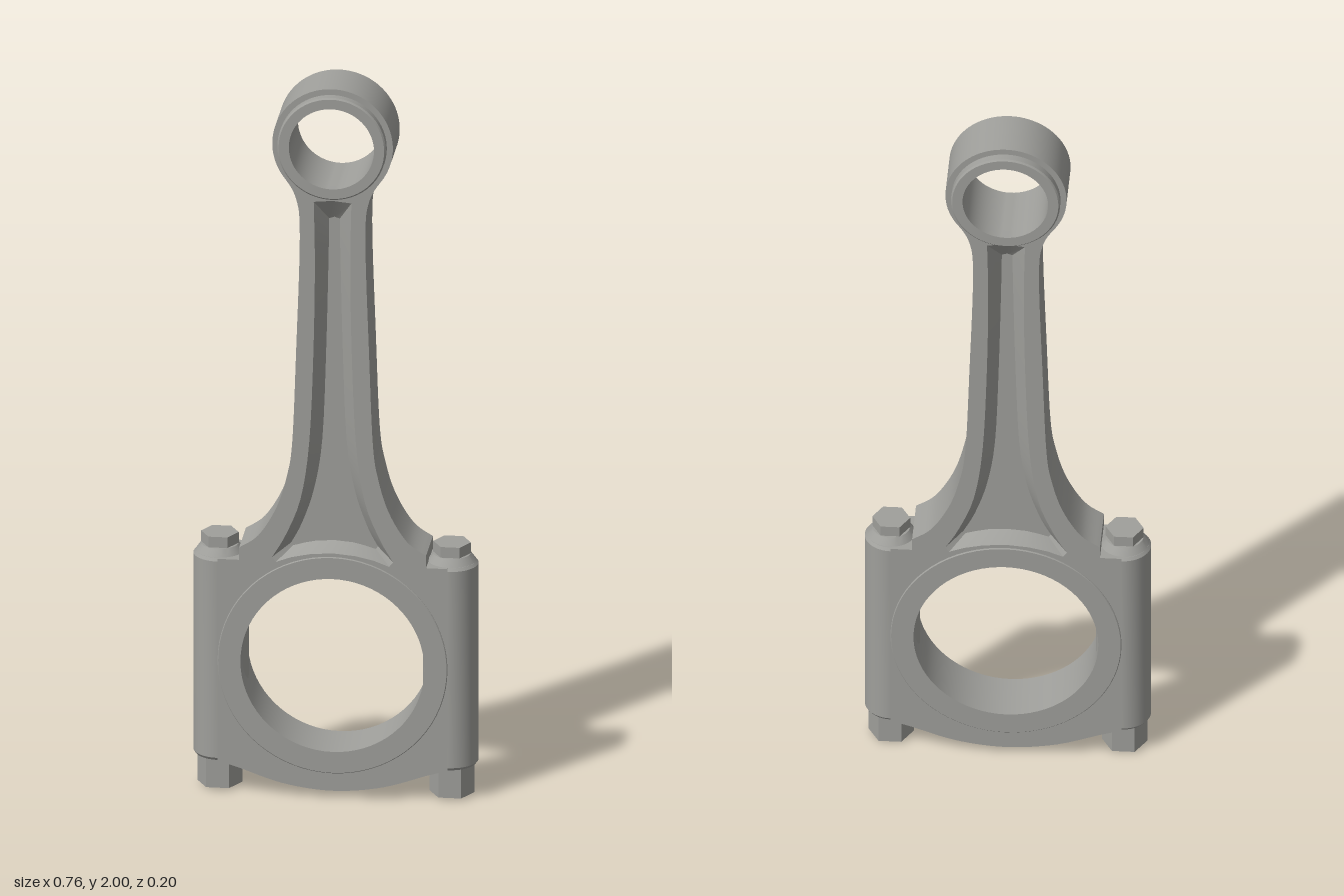
import * as THREE from 'three';
import { toCreasedNormals } from 'three/addons/utils/BufferGeometryUtils.js';

const steel = new THREE.MeshStandardMaterial({ color: 0x9f9f9b });
steel.name = 'forged steel';

const HALF = 0.073;            // half thickness of the forging
const BIG = { y: 0.375, r: 0.245 };
const EYE = { y: 1.84, r: 0.16 };
const BOLT_X = 0.305;

const vec = ([x, y]) => new THREE.Vector2(x, y);
const spline = (pts, n) => new THREE.SplineCurve(pts.map(vec)).getPoints(n);
const mirrored = (pts) => pts.map((p) => new THREE.Vector2(-p.x, p.y)).reverse();
const arc = (y, r, a0, a1, n) => Array.from({ length: n + 1 }, (_, i) => {
  const a = a0 + (a1 - a0) * i / n;
  return new THREE.Vector2(r * Math.cos(a), y + r * Math.sin(a));
});

function part(name, geometry, crease = 0.5) {
  const mesh = new THREE.Mesh(toCreasedNormals(geometry, crease), steel);
  mesh.name = name;
  return mesh;
}

function plate(name, outline, holes = []) {
  const shape = new THREE.Shape(outline);
  holes.forEach((h) => shape.holes.push(new THREE.Path(h)));
  const geo = new THREE.ExtrudeGeometry(shape, { depth: 2 * HALF, bevelEnabled: false });
  return part(name, geo.translate(0, 0, -HALF));
}

// Ring around the z axis with chamfered outer edges
function ring(name, y, inner, outer, half, chamfer) {
  const profile = [
    [inner, -half], [outer - chamfer, -half], [outer, -half + chamfer],
    [outer, half - chamfer], [outer - chamfer, half], [inner, half], [inner, -half],
  ].map(vec);
  const geo = new THREE.LatheGeometry(profile, 72).rotateX(Math.PI / 2);
  return part(name, geo.translate(0, y, 0));
}

function hexPrism(name, x, radius, y0, y1) {
  const geo = new THREE.CylinderGeometry(radius, radius, y1 - y0, 6).rotateY(Math.PI / 2);
  return part(name, geo.translate(x, (y0 + y1) / 2, 0));
}

// Closed counter-clockwise loop for the beam pocket
function pocketLoop(bottom, side, top) {
  const right = [...bottom.map(vec), ...spline(side, 24), vec(top)];
  return [...right, ...mirrored(right.slice(1, -1))];
}

// Sloping pocket walls and flat floor
function pocketGeometry(outer, inner, floorZ) {
  const n = outer.length;
  const position = [], index = [];
  outer.forEach((p) => position.push(p.x, p.y, HALF));
  inner.forEach((p) => position.push(p.x, p.y, floorZ));
  for (let i = 0; i < n; i++) {
    const j = (i + 1) % n;
    index.push(i, j, n + j, i, n + j, n + i);
  }
  THREE.ShapeUtils.triangulateShape(inner, [])
    .forEach((t) => index.push(...t.map((k) => k + n)));
  const geo = new THREE.BufferGeometry();
  geo.setAttribute('position', new THREE.Float32BufferAttribute(position, 3));
  geo.setIndex(index);
  return geo;
}

export function createModel() {
  const model = new THREE.Group();
  model.name = 'connectingRod';

  // Pocket outlines: rim on the face, floor inside
  const rim = pocketLoop([[0, 0.69], [0.06, 0.685], [0.11, 0.674], [0.15, 0.659]],
    [[0.161, 0.672], [0.125, 0.735], [0.085, 0.84], [0.062, 1.0], [0.051, 1.25], [0.047, 1.5], [0.05, 1.68]],
    [0, 1.685]);
  const floor = pocketLoop([[0, 0.712], [0.05, 0.708], [0.08, 0.701], [0.11, 0.692]],
    [[0.115, 0.7], [0.085, 0.76], [0.053, 0.86], [0.032, 1.0], [0.022, 1.25], [0.016, 1.5], [0.014, 1.62]],
    [0, 1.625]);

  // Rod: upper half of the big end, flared beam and small eye
  const flank = [
    vec([BIG.r, BIG.y]), vec([BOLT_X, BIG.y]), vec([BOLT_X, 0.66]), vec([0.248, 0.66]),
    ...spline([[0.248, 0.695], [0.197, 0.732], [0.15, 0.81], [0.122, 0.9], [0.107, 1.0],
      [0.097, 1.25], [0.087, 1.58], [0.098, 1.69], [0.1356, 1.755]], 48),
  ];
  const rodOutline = [
    ...flank,
    ...arc(EYE.y, EYE.r, -0.5, Math.PI + 0.5, 56),
    ...mirrored(flank),
    ...arc(BIG.y, BIG.r, Math.PI, 0, 40).slice(1, -1),
  ];
  const eyeHole = arc(EYE.y, 0.12, 0, 2 * Math.PI, 48).slice(0, -1);
  model.add(plate('rodBody', rodOutline, [eyeHole, rim]));

  // Pocket on both faces
  for (const [name, turn] of [['frontPocket', 0], ['backPocket', Math.PI]]) {
    const pocket = part(name, pocketGeometry(rim, floor, 0.032));
    pocket.rotation.y = turn;
    model.add(pocket);
  }

  // Bearing cap: lower half of the big end
  const capBottom = spline([[-BOLT_X, 0.09], [-0.25, 0.074], [-0.13, 0.035], [0, 0.02],
    [0.13, 0.035], [0.25, 0.074], [BOLT_X, 0.09]], 40);
  model.add(plate('bearingCap', [
    vec([-BOLT_X, BIG.y]), ...capBottom, vec([BOLT_X, BIG.y]),
    ...arc(BIG.y, BIG.r, 0, -Math.PI, 40),
  ]));

  // Raised bearing faces and small-end bushing
  model.add(ring('bigEndBearing', BIG.y, BIG.r - 0.001, 0.305, 0.077, 0.002));
  model.add(ring('smallEndBushing', EYE.y, 0.113, 0.144, 0.098, 0.004));

  // Bolt bosses, bolts and nuts
  for (const [side, s] of [['left', 1], ['right', -1]]) {
    const group = new THREE.Group();
    group.name = side + 'Bolt';
    const x = s * BOLT_X;
    const boss = new THREE.LatheGeometry([[0, 0.09], [0.067, 0.09], [HALF, 0.098],
      [HALF, 0.652], [0.067, 0.66], [0, 0.66]].map(vec), 40);
    group.add(part('boltBoss', boss.translate(x, 0, 0)));
    const seat = new THREE.CylinderGeometry(0.05, 0.064, 0.02, 32);
    group.add(part('boltSeat', seat.translate(s * 0.308, 0.67, 0)));
    group.add(hexPrism('boltHead', s * 0.308, 0.05, 0.675, 0.71));
    group.add(hexPrism('nut', s * 0.308, 0.06, 0.006, 0.092));
    const tip = new THREE.CylinderGeometry(0.03, 0.027, 0.03, 24);
    group.add(part('boltTip', tip.translate(s * 0.308, 0.015, 0)));
    model.add(group);
  }
  return model;
}
